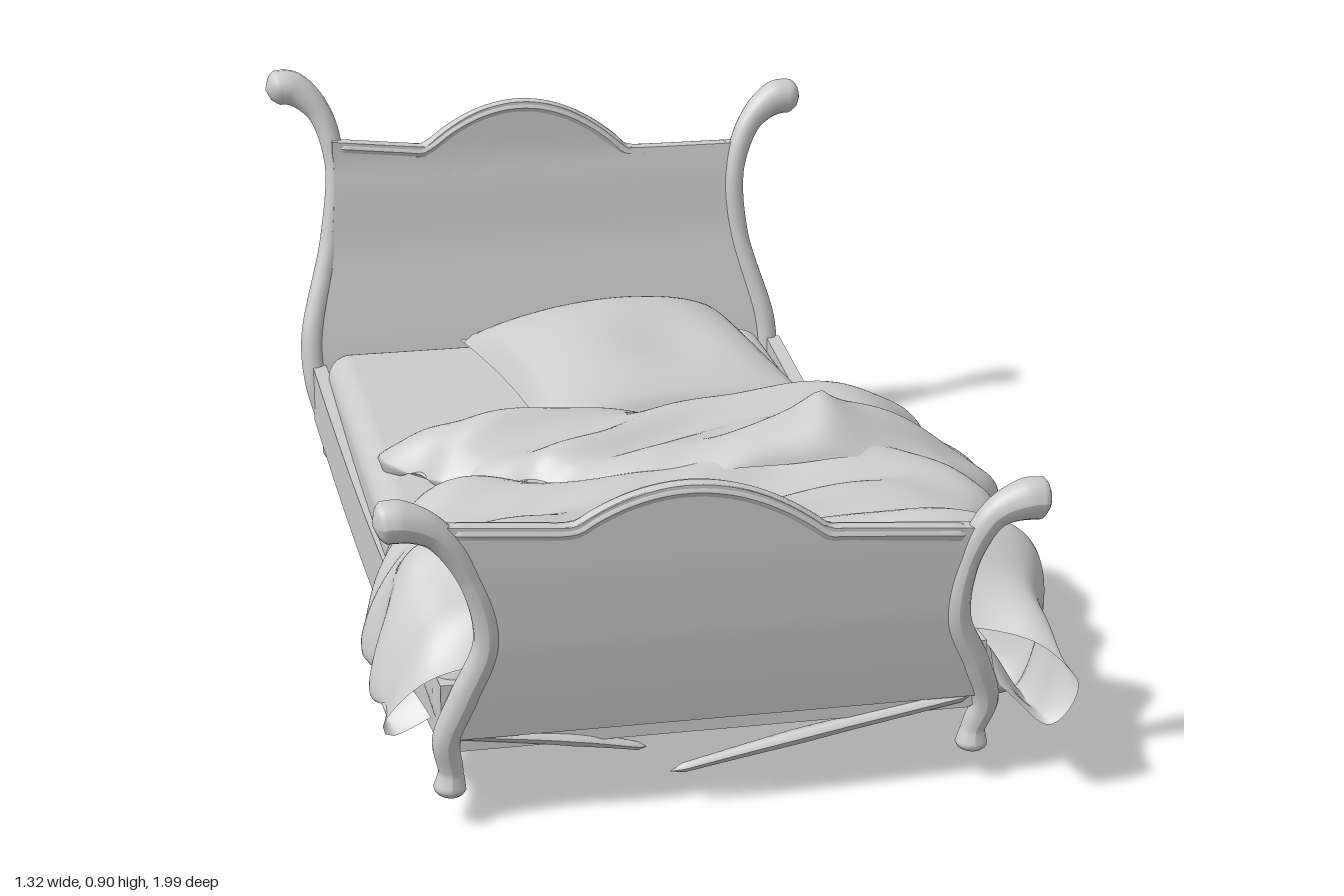
import * as THREE from 'three';
import { RoundedBoxGeometry } from 'three/addons/geometries/RoundedBoxGeometry.js';

const grey = new THREE.MeshStandardMaterial({ color: 0xcccccc });
const cloth = new THREE.MeshStandardMaterial({ color: 0xcccccc, side: THREE.DoubleSide });
const { lerp, clamp } = THREE.MathUtils;
const V = (x, y, z) => new THREE.Vector3(x, y, z);
const spline = points => new THREE.CatmullRomCurve3(points.map(p => V(p[0], p[1], p[2])));
const MID = -.055; // centre line of the frame

function mesh(name, geometry, material = grey) {
  const m = new THREE.Mesh(geometry, material);
  m.name = name;
  return m;
}

function group(name, ...parts) {
  const g = new THREE.Group();
  g.name = name;
  return g.add(...parts);
}

// Move every vertex by a rule
function warp(geometry, rule) {
  const p = geometry.attributes.position, v = V(0, 0, 0);
  for (let i = 0; i < p.count; i++) {
    v.fromBufferAttribute(p, i);
    rule(v, i);
    p.setXYZ(i, v.x, v.y, v.z);
  }
  geometry.computeVertexNormals();
  return geometry;
}

// Tube through [x, y, z, radius] points, with rounded ends
function sweep(points, segs = 110, sides = 14) {
  const curve = spline(points), centre = V(0, 0, 0);
  return warp(new THREE.TubeGeometry(curve, segs, 1, sides), (v, i) => {
    const u = Math.floor(i / (sides + 1)) / segs;
    const t = curve.getUtoTmapping(u) * (points.length - 1);
    const k = Math.min(Math.floor(t), points.length - 2);
    const end = Math.min(1, Math.sqrt(Math.min(u, 1 - u) * 40));
    const r = lerp(points[k][3], points[k + 1][3], t - k) * end + .001;
    curve.getPointAt(u, centre);
    v.sub(centre).multiplyScalar(r).add(centre);
  });
}

// Post profiles: [distance from centre line, y, z, radius], foot to scrolled knob
const headPost = [
  [.475, .055, -.8, .032], [.475, .1, -.805, .022], [.5, .22, -.815, .024], [.5, .31, -.83, .024],
  [.45, .5, -.87, .021], [.44, .65, -.885, .02], [.475, .75, -.905, .025], [.535, .795, -.922, .037], [.588, .793, -.924, .036]];
const footPost = [
  [.474, .055, .865, .033], [.474, .1, .865, .021], [.487, .16, .875, .024], [.46, .24, .89, .025],
  [.42, .34, .905, .023], [.44, .45, .912, .021], [.49, .53, .915, .026], [.55, .555, .915, .037], [.593, .552, .915, .036]];

// Place a profile on one side; each post has its own height, bow and lean
function post(profile, side, tall, bow, lean) {
  const top = profile[profile.length - 1][1];
  return profile.map(([d, y, z, r]) =>
    [MID + side * (d + bow * Math.sin(Math.PI * y / top)), .055 + (y - .055) * tall, z + lean * (y / top) ** 2, r]);
}

// Point on a post at a given height
function postAt(points, y) {
  let k = 1;
  while (k < points.length - 1 && points[k][1] < y) k++;
  const a = points[k - 1], b = points[k], t = clamp((y - a[1]) / (b[1] - a[1]), 0, 1);
  return [lerp(a[0], b[0], t), lerp(a[2], b[2], t)];
}

// Two posts with a curved panel between, its crest arched and edged with a moulding
function bedEnd(name, right, left, xr, xl, yr, yl, arch, sag, bottom) {
  const crest = u => lerp(yr, yl, u) - sag * Math.sin(Math.PI * u) +
    arch * Math.max(0, 1 - ((lerp(xr, xl, u) + .085) / .22) ** 2);
  const depth = y => (postAt(right, Math.min(y, yl))[1] + postAt(left, Math.min(y, yl))[1]) / 2;
  const panel = warp(new THREE.BoxGeometry(1, 1, 1, 48, 24, 1), v => {
    const u = v.x + .5, h = v.y + .5, y = lerp(bottom, crest(u), h);
    const x = lerp(postAt(right, y)[0], postAt(left, y)[0], u);
    v.set(lerp(x, lerp(xr, xl, u), h ** 4), y, depth(y) + v.z * .03);
  });
  const rim = Array.from({ length: 33 }, (_, i) => {
    const y = crest(i / 32);
    return [lerp(xr, xl, i / 32), y - .014, depth(y), .0165];
  });
  return group(name, mesh('panel', panel), mesh('topMoulding', sweep(rim, 80, 10)),
    mesh('rightPost', sweep(right)), mesh('leftPost', sweep(left)));
}

// Folds of the cloth, with one raised peak
const fold = s => ((1 + Math.cos(s)) / 2) ** 2;
const wrinkle = (x, y, z) =>
  .03 * fold(19 * z - 5 * x + 1.6 * Math.sin(4 * x)) + .02 * fold(25 * z + 8 * x + 2 * Math.sin(3 * x + 1) + 6 * y) +
  .007 * Math.sin(34 * z + 9 * x + 2 * Math.sin(9 * x)) - .015 + .085 * Math.exp(-9 * Math.hypot(x - .3, z - .24));

// Cloth draped over the bed, hems tucked under.
// Stations: [z, left x, left hem y, right x, right hem y, top y, right hem z shift]
function drape(stations) {
  const sections = stations.map(([z, xl, yl, xr, yr, top, dz]) => {
    const x1 = xl + .08;
    return spline([
      [xl + .06, yl + .03, z], [xl, yl, z], [x1, top - .02, z], [lerp(x1, .42, .35), top, z], [lerp(x1, .42, .7), top, z],
      [.42, top, z], [Math.min(.54, xr), lerp(top, yr, .18), z + dz / 2], [xr, lerp(top, yr, .5), z + dz],
      [xr - .05, yr, z + dz], [Math.max(.45, xr - .14), lerp(yr, top, .35), z + dz / 2]]);
  });
  const nu = 120, nv = 80;
  const rows = Array.from({ length: nu + 1 }, (_, i) => new THREE.CatmullRomCurve3(sections.map(c => c.getPoint(i / nu))));
  const geometry = warp(new THREE.PlaneGeometry(1, 1, nu, nv), (v, i) =>
    v.copy(rows[i % (nu + 1)].getPoint(Math.floor(i / (nu + 1)) / nv)));
  const normal = geometry.attributes.normal.clone(), n = V(0, 0, 0);
  return warp(geometry, (v, i) => {
    v.addScaledVector(n.fromBufferAttribute(normal, i), wrinkle(v.x, v.y, v.z));
    v.y = Math.max(v.y, .003);
  });
}

// One puffed face of the pillow, pinched to a seam, its four sides drawn inward
function pillowFace(side) {
  return warp(new THREE.PlaneGeometry(2, 2, 32, 32), v => {
    const a = v.x, b = -v.y, fa = 1 - a * a, fb = 1 - b * b;
    const dent = .03 * Math.exp(-((a - .2) ** 2 + (b - .25) ** 2) * 5);
    const puff = Math.sqrt(Math.max(0, fa * fb)) * (side > 0 ? .12 - dent - .02 * b : -.05);
    const s = a * (1 - .06 * fb), t = b * (1 - .06 * fa);
    v.set(.075 + .29 * s + .05 * t, .332 - .015 * b + puff, -.48 + .28 * t - .045 * s);
  });
}

export function createModel() {
  const bed = group('bed',
    bedEnd('headboard', post(headPost, -1, 1.09, .018, -.04), post(headPost, 1, 1, -.01, 0), -.51, .38, .755, .705, .108, .016, .16),
    bedEnd('footboard', post(footPost, -1, 1.09, -.02, 0), post(footPost, 1, 1, .015, 0), -.53, .4, .587, .513, .08, 0, .175));

  // Side rails sag toward the middle and narrow toward the foot
  for (const [name, headX, footX] of [['rightRail', -.562, -.52], ['leftRail', .452, .428]]) {
    bed.add(mesh(name, warp(new THREE.BoxGeometry(.03, .125, 1, 1, 4, 24), v => {
      const t = v.z + .5;
      v.set(v.x + lerp(headX, footX, t), v.y + .213 - .045 * Math.sin(Math.PI * t), lerp(-.81, .88, t));
    })));
  }

  // Base board with a small panel under it
  const base = mesh('baseBoard', warp(new THREE.BoxGeometry(1, .025, 1, 4, 1, 1), v => {
    const t = v.z + .5;
    v.set(MID + v.x * (1 - .06 * t), v.y + .16, lerp(-.8, .88, t));
  }));
  const inset = mesh('basePanel', new THREE.BoxGeometry(.48, .015, .8));
  inset.position.set(-.04, .15, .03);
  bed.add(base, inset);

  // Broken front rail, two splintered ends
  bed.add(
    mesh('brokenRailRight', sweep([[-.52, .18, .88, .006], [-.3, .15, .875, .012], [-.172, .121, .87, .006]], 24, 6)),
    mesh('brokenRailLeft', sweep([[.42, .175, .88, .01], [.1, .12, .88, .013], [-.13, .074, .88, .007]], 24, 6)));

  bed.add(mesh('mattress', warp(new RoundedBoxGeometry(.96, .15, 1.65, 5, .05), v => {
    v.x += MID - .01 + .006 * v.z;
    v.y += .23 + (v.y > 0 ? .02 * v.z * v.z : 0);
    v.z += .035;
  })));

  bed.add(group('pillow', mesh('pillowTop', pillowFace(1), cloth), mesh('pillowUnderside', pillowFace(-1), cloth)));

  // Blanket: part over the foot, and part turned back with a corner hanging to the floor
  const overFoot = drape([
    [.19, -.47, .32, .6, .24, .38, 0], [.4, -.6, .24, .58, .22, .4, 0], [.55, -.61, .2, .55, .15, .41, 0],
    [.78, -.63, .2, .57, .14, .4, .06], [.87, -.62, .2, .58, .15, .3, .11]]);
  const turnedBack = drape([
    [-.17, -.4, .31, .5, .23, .33, 0], [-.08, -.5, .32, .56, .17, .395, 0], [.04, -.45, .33, .65, .01, .405, 0],
    [.15, -.36, .34, .65, .1, .425, 0], [.26, -.25, .35, .64, .19, .44, .02], [.33, -.2, .36, .59, .24, .39, .06]]);
  bed.add(group('blanket', mesh('blanketOverFoot', overFoot, cloth), mesh('blanketTurnedBack', turnedBack, cloth)));
  return bed;
}
